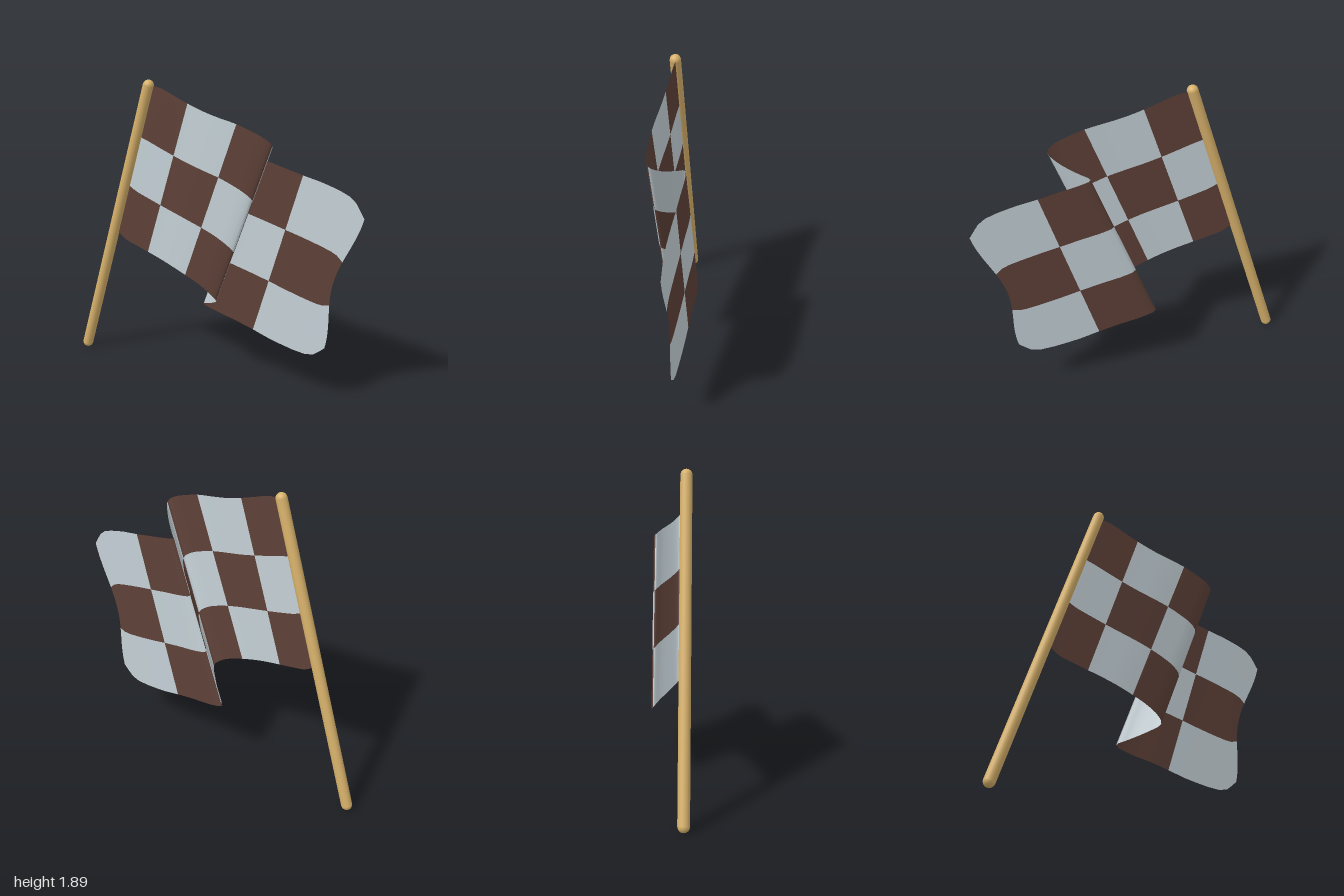
import * as THREE from 'three';

const COLUMNS = 6, ROWS = 3;
const STEPS = 8; // mesh divisions per check

// Cloth stations along its length, three per column:
// [top x, top y, bottom x, bottom y, z]
const STATIONS = [
  [-0.37, 1.86, -0.67, 0.90, 0.092],
  [-0.28, 1.85, -0.60, 0.85, 0.092],
  [-0.18, 1.815, -0.51, 0.825, 0.091],
  [-0.08, 1.78, -0.41, 0.80, 0.09],
  [0.04, 1.745, -0.31, 0.775, 0.09],
  [0.16, 1.72, -0.21, 0.745, 0.09],
  [0.27, 1.70, -0.11, 0.71, 0.086],
  [0.37, 1.67, -0.02, 0.675, 0.08],
  [0.45, 1.64, 0.06, 0.63, 0.073],
  [0.495, 1.60, 0.105, 0.58, 0.052], // front fold
  [0.44, 1.55, 0.04, 0.535, 0.0],
  [0.35, 1.51, -0.05, 0.49, -0.065],
  [0.28, 1.48, -0.115, 0.455, -0.105], // back fold
  [0.35, 1.46, -0.02, 0.425, -0.118],
  [0.47, 1.435, 0.12, 0.40, -0.121],
  [0.59, 1.41, 0.26, 0.37, -0.125],
  [0.75, 1.38, 0.43, 0.33, -0.129],
  [0.91, 1.325, 0.66, 0.308, -0.133],
  [0.99, 1.22, 0.77, 0.38, -0.135],
];

// Smooth sheet ruled between a top and a bottom rail, checks as material groups
function clothGeometry() {
  const top = new THREE.CatmullRomCurve3(
    STATIONS.map(([x, y, , , z]) => new THREE.Vector3(x, y, z)), false, 'catmullrom', 0.5);
  const bottom = new THREE.CatmullRomCurve3(
    STATIONS.map(([, , x, y, z]) => new THREE.Vector3(x, y, z)), false, 'catmullrom', 0.5);

  const nu = COLUMNS * STEPS, nv = ROWS * STEPS;
  const positions = [];
  for (let i = 0; i <= nu; i++) {
    const u = i / nu;
    const a = top.getPoint(u), b = bottom.getPoint(u);
    const free = Math.max(0, u * COLUMNS - (COLUMNS - 1)); // 0..1 over the last column
    for (let j = 0; j <= nv; j++) {
      const v = j / nv;
      const p = a.clone().lerp(b, v);
      p.x -= 0.07 * free * free * Math.sin(Math.PI * v) ** 2; // hollow free edge
      positions.push(p.x, p.y, p.z);
    }
  }

  const faces = [[], []];
  for (let i = 0; i < nu; i++) {
    for (let j = 0; j < nv; j++) {
      const check = (Math.floor(i / STEPS) + Math.floor(j / STEPS)) % 2;
      const a = i * (nv + 1) + j, b = a + nv + 1;
      faces[check].push(a, a + 1, b, b, a + 1, b + 1);
    }
  }

  const geometry = new THREE.BufferGeometry();
  geometry.setAttribute('position', new THREE.Float32BufferAttribute(positions, 3));
  geometry.setIndex([...faces[0], ...faces[1]]);
  geometry.addGroup(0, faces[0].length, 0);
  geometry.addGroup(faces[0].length, faces[1].length, 1);
  geometry.computeVertexNormals();
  return geometry;
}

export function createModel() {
  const wood = new THREE.MeshStandardMaterial({ name: 'wood', color: 0xd6b06a });
  const brown = new THREE.MeshStandardMaterial({ name: 'darkCheck', color: 0x5d4037, side: THREE.DoubleSide });
  const pale = new THREE.MeshStandardMaterial({ name: 'paleCheck', color: 0xc3cfd5, side: THREE.DoubleSide });

  const model = new THREE.Group();
  model.name = 'checkeredFlag';

  // Leaning round-ended pole
  const foot = new THREE.Vector3(-0.967, 0.034, 0.1);
  const tip = new THREE.Vector3(-0.37, 1.86, 0.1);
  const along = tip.clone().sub(foot);
  const pole = new THREE.Mesh(new THREE.CapsuleGeometry(0.034, along.length(), 6, 20), wood);
  pole.name = 'pole';
  pole.position.copy(foot).add(tip).multiplyScalar(0.5);
  pole.quaternion.setFromUnitVectors(new THREE.Vector3(0, 1, 0), along.normalize());
  model.add(pole);

  // Folded cloth
  const cloth = new THREE.Mesh(clothGeometry(), [brown, pale]);
  cloth.name = 'cloth';
  model.add(cloth);

  return model;
}
